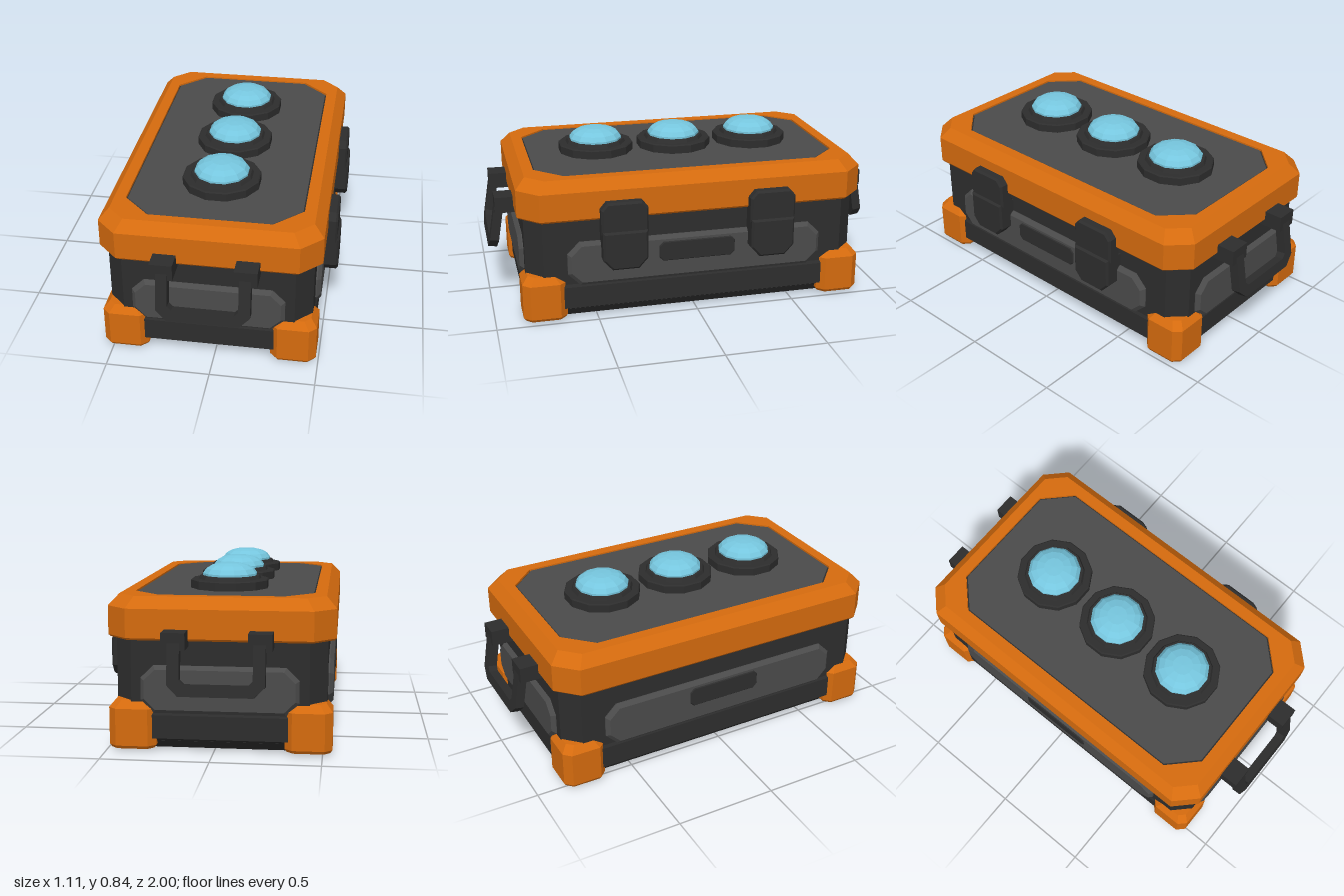
import * as THREE from 'three';

const mat = (name, color) => {
  const m = new THREE.MeshStandardMaterial({ color });
  m.name = name;
  return m;
};

// Chamfered rectangle, running from +x towards +z
const octagon = (hx, hz, c) => [
  [hx, -hz + c], [hx, hz - c], [hx - c, hz], [-hx + c, hz],
  [-hx, hz - c], [-hx, -hz + c], [-hx + c, -hz], [hx - c, -hz],
];

// Faceted solid through chamfered rectangles [hx, hz, cut, y], capped at both ends
function loft(rings) {
  const loops = rings.map(([hx, hz, c, y]) => octagon(hx, hz, c).map(([x, z]) => [x, y, z]));
  const pos = [];
  const tri = (...pts) => pts.forEach((p) => pos.push(...p));
  const last = loops.length - 1;
  for (let i = 0; i < 8; i++) {
    const j = (i + 1) % 8;
    for (let k = 0; k < last; k++) {
      const a = loops[k], b = loops[k + 1];
      tri(a[i], b[i], a[j]);
      tri(a[j], b[i], b[j]);
    }
    tri([0, rings[0][3], 0], loops[0][i], loops[0][j]);
    tri([0, rings[last][3], 0], loops[last][j], loops[last][i]);
  }
  const geo = new THREE.BufferGeometry();
  geo.setAttribute('position', new THREE.Float32BufferAttribute(pos, 3));
  geo.computeVertexNormals();
  return geo;
}

// Bevelled plate facing +z
const plate = (hx, hy, cut, depth, bevel) => loft([
  [hx, hy, cut, 0], [hx, hy, cut, depth - bevel],
  [hx - bevel, hy - bevel, cut - bevel * 0.5, depth],
]).rotateX(Math.PI / 2);

// Faceted turned solid with flats on the axes
function turned(points, sides) {
  const pts = points.map(([r, y]) => new THREE.Vector2(r, y));
  const geo = new THREE.LatheGeometry(pts, sides, Math.PI / sides).toNonIndexed();
  geo.computeVertexNormals();
  return geo;
}

const shapeOf = (pts) => new THREE.Shape(pts.map(([x, y]) => new THREE.Vector2(x, y)));

// Bevelled outline from z = 0 to z = depth
function slab(pts, depth, bevel) {
  return new THREE.ExtrudeGeometry(shapeOf(pts), {
    depth: depth - 2 * bevel, bevelEnabled: bevel > 0, bevelSize: bevel,
    bevelOffset: -bevel, bevelThickness: bevel, bevelSegments: 1,
  }).translate(0, 0, bevel);
}

export function createModel() {
  const orange = mat('orange shell', 0xd56b0e);
  const dark = mat('dark plastic', 0x2d2d2d);
  const grey = mat('grey panel', 0x4b4b4b);
  const blue = mat('blue lens', 0x76c6de);

  const model = new THREE.Group();
  const box = new THREE.Group();
  box.name = 'case';
  box.position.x = -0.028;
  model.add(box);
  const add = (name, geo, material, parent = box) => {
    const mesh = new THREE.Mesh(geo, material);
    mesh.name = name;
    parent.add(mesh);
    return mesh;
  };

  // Body and base
  add('body', loft([
    [0.455, 0.8, 0.08, 0.035], [0.475, 0.825, 0.08, 0.052], [0.497, 0.847, 0.08, 0.06],
    [0.497, 0.847, 0.08, 0.17], [0.49, 0.84, 0.08, 0.185], [0.49, 0.84, 0.08, 0.54],
  ]), dark);
  add('base', loft([[0.435, 0.77, 0.08, 0], [0.465, 0.812, 0.08, 0.042]]), dark);

  // Lid with a shallow recess for its panel
  add('lid', loft([
    [0.52, 0.862, 0.1, 0.522], [0.528, 0.87, 0.1, 0.532], [0.528, 0.87, 0.1, 0.667],
    [0.48, 0.822, 0.085, 0.72], [0.424, 0.768, 0.132, 0.72], [0.424, 0.768, 0.132, 0.705],
  ]), orange);
  add('lidRecess', loft([[0.423, 0.767, 0.132, 0.7], [0.423, 0.767, 0.132, 0.71]]), dark);
  add('lidPanel', loft([[0.417, 0.761, 0.13, 0.7], [0.417, 0.761, 0.13, 0.716]]), grey);

  // Corner guards
  for (const sx of [-1, 1]) for (const sz of [-1, 1]) {
    add('cornerGuard', loft([
      [0.1, 0.098, 0.03, 0.01], [0.11, 0.108, 0.035, 0.025],
      [0.11, 0.108, 0.035, 0.2], [0.08, 0.078, 0.03, 0.237],
    ]), orange).position.set(sx * 0.407, 0, sz * 0.757);
  }

  // Raised side panels, inserts and carrying handles
  for (const s of [-1, 1]) {
    const side = new THREE.Group();
    side.name = 'longSide';
    side.rotation.y = s * Math.PI / 2;
    box.add(side);
    add('longPanel', plate(0.643, 0.112, 0.06, 0.04, 0.018), grey, side).position.set(0, 0.293, 0.475);
    add('panelInsert', plate(0.192, 0.05, 0.02, 0.02, 0.004), dark, side).position.set(0, 0.325, 0.5);

    const end = new THREE.Group();
    end.name = 'endSide';
    end.rotation.y = s > 0 ? 0 : Math.PI;
    box.add(end);
    add('endPanel', plate(0.365, 0.112, 0.06, 0.04, 0.018), grey, end).position.set(0, 0.293, 0.822);
    for (const x of [-0.195, 0.195]) {
      add('handleBracket', new THREE.BoxGeometry(0.108, 0.08, 0.12), dark, end).position.set(x, 0.535, 0.9);
    }
    const handle = add('handle', slab([
      [-0.22, 0], [-0.22, -0.195], [-0.17, -0.245], [0.17, -0.245], [0.22, -0.195], [0.22, 0],
      [0.165, 0], [0.165, -0.17], [0.145, -0.19], [-0.145, -0.19], [-0.165, -0.17], [-0.165, 0],
    ], 0.045, 0), dark, end);
    handle.position.set(0, 0.53, 0.914);
    handle.rotation.x = -0.17;
  }

  // Latches on the left side
  for (const z of [-0.37, 0.37]) {
    const latch = new THREE.Group();
    latch.name = 'latch';
    latch.position.z = z;
    latch.rotation.y = Math.PI / 2;
    box.add(latch);
    add('latchTop', slab([
      [-0.115, 0.455], [0.115, 0.455], [0.115, 0.58], [0.085, 0.615], [-0.085, 0.615], [-0.115, 0.58],
    ], 0.075, 0.01), dark, latch).position.z = 0.498;
    add('latchLever', slab([
      [-0.065, 0.275], [0.065, 0.275], [0.11, 0.325], [0.11, 0.47], [-0.11, 0.47], [-0.11, 0.325],
    ], 0.12, 0.01), dark, latch).position.z = 0.463;
  }

  // Three domed lamps
  for (const z of [-0.413, 0, 0.413]) {
    const lamp = new THREE.Group();
    lamp.name = 'lamp';
    lamp.position.z = z;
    box.add(lamp);
    add('lampBase', turned([
      [0.192, 0.71], [0.192, 0.755], [0.186, 0.76], [0.155, 0.76], [0.147, 0.776], [0, 0.776],
    ], 12), dark, lamp);
    add('lampLens', turned([
      [0.134, 0.77], [0.134, 0.786], [0.118, 0.808], [0.09, 0.824], [0.05, 0.834], [0, 0.836],
    ], 12), blue, lamp);
  }

  return model;
}
